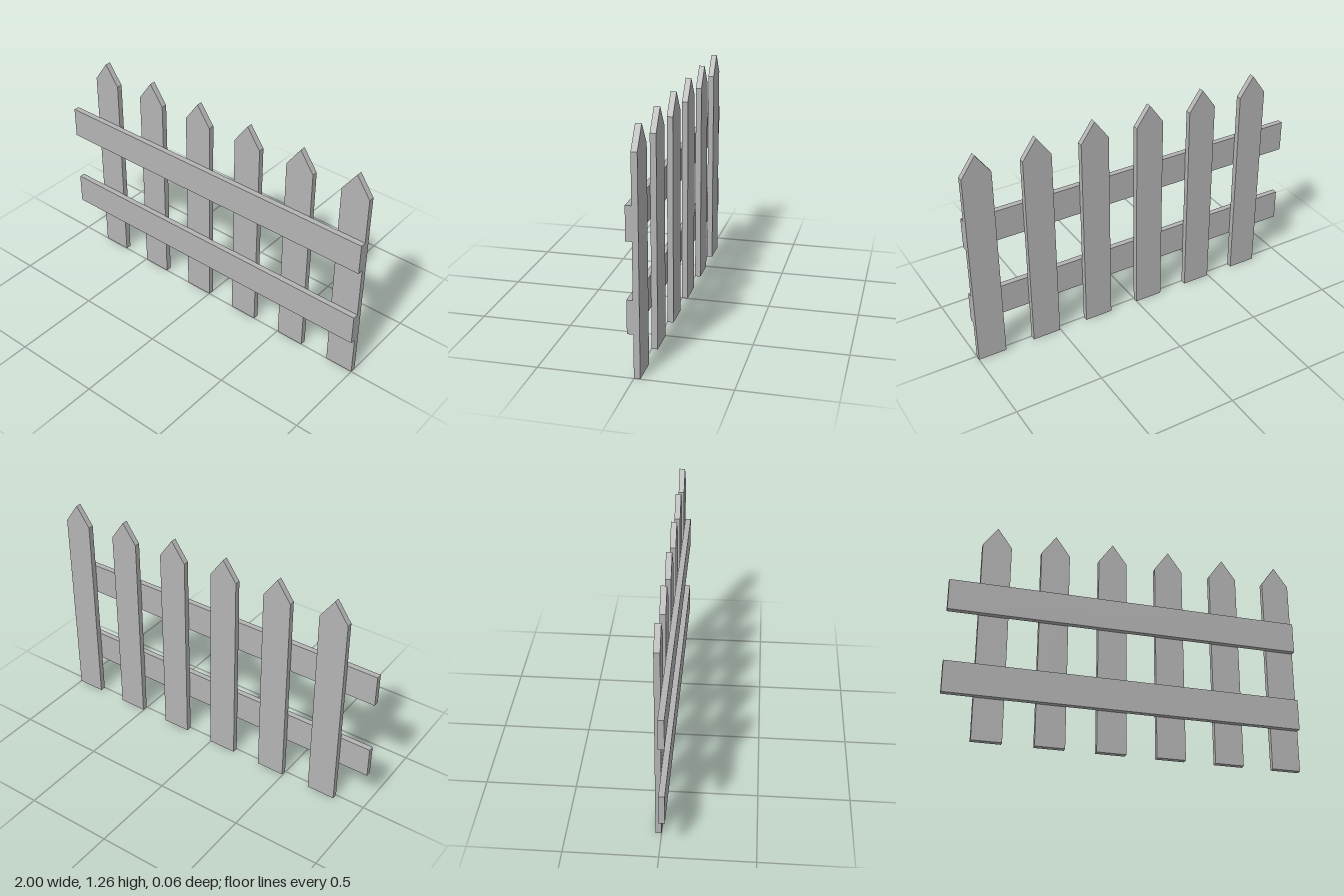
import * as THREE from 'three';

export function createModel() {
  const fence = new THREE.Group();
  fence.name = 'picketFence';
  const wood = new THREE.MeshStandardMaterial({ color: 0xb4b4b4 });
  wood.name = 'plain grey';

  const thickness = 0.032;
  const halfWidth = 0.0815;
  const shoulder = 1.15;
  const tip = 1.265;

  // Pointed picket outline, extruded backwards from z = 0
  const outline = new THREE.Shape([
    new THREE.Vector2(-halfWidth, 0),
    new THREE.Vector2(halfWidth, 0),
    new THREE.Vector2(halfWidth, shoulder),
    new THREE.Vector2(0, tip),
    new THREE.Vector2(-halfWidth, shoulder),
  ]);
  const picketGeometry = new THREE.ExtrudeGeometry(outline, { depth: thickness, bevelEnabled: false });
  picketGeometry.translate(0, 0, -thickness);

  // Six evenly spaced pickets, the last flush with the rail ends
  for (let i = 0; i < 6; i++) {
    const picket = new THREE.Mesh(picketGeometry, wood);
    picket.name = `picket${i + 1}`;
    picket.position.x = 1 - halfWidth - (5 - i) * 0.333;
    fence.add(picket);
  }

  // Two horizontal rails across the front
  const railGeometry = new THREE.BoxGeometry(2, 0.178, thickness);
  for (const [name, y] of [['lowerRail', 0.324], ['upperRail', 0.801]]) {
    const rail = new THREE.Mesh(railGeometry, wood);
    rail.name = name;
    rail.position.set(0, y, thickness / 2);
    fence.add(rail);
  }
  return fence;
}
